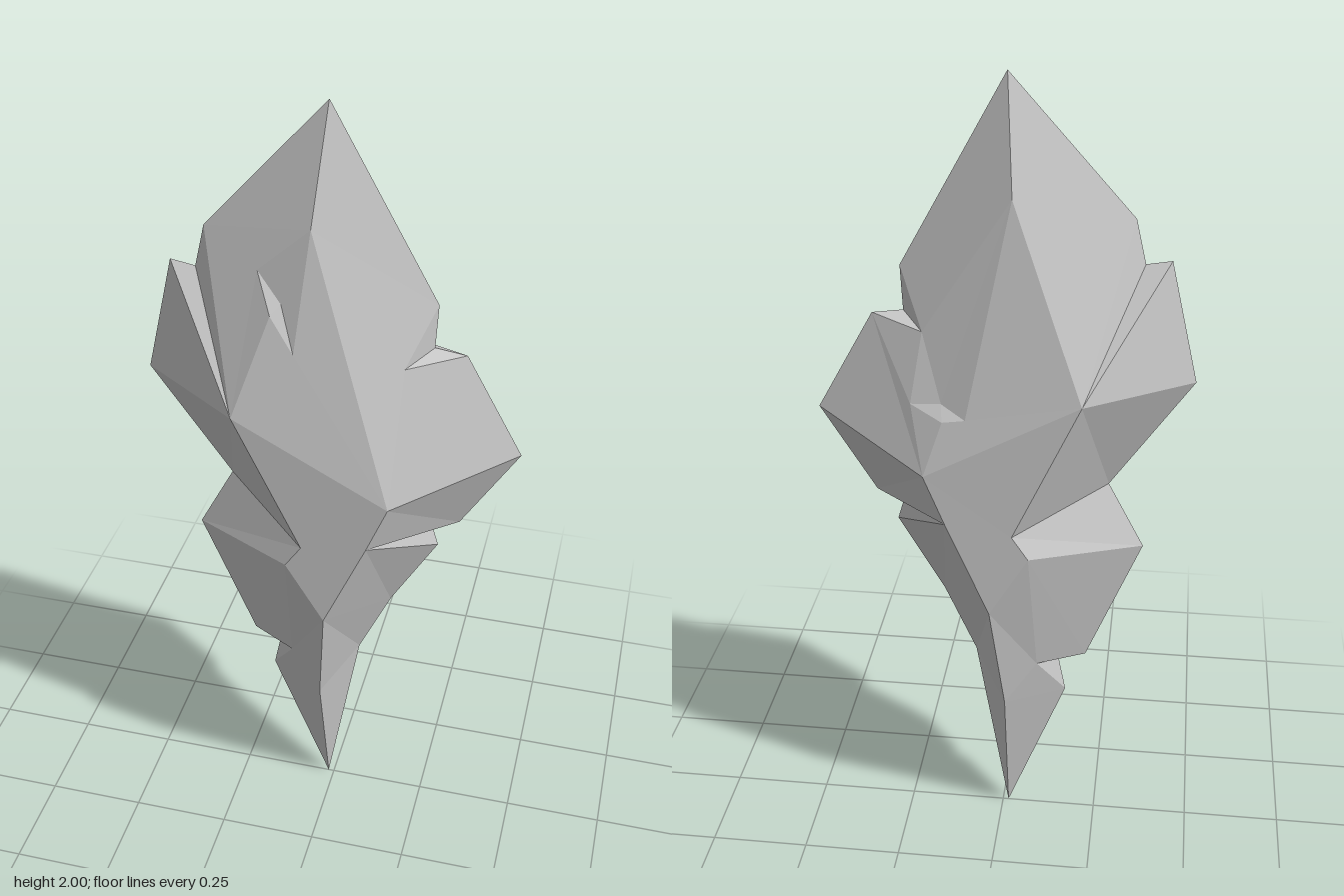
import * as THREE from 'three';

// Corners of one half: rim points lie on z = 0, the others stand out from it.
const P = {
  // rim, clockwise from the tip
  tip: [-0.01, 2, 0], r1: [0.24, 1.55, 0], r2: [0.235, 1.44, 0], r3: [0.31, 1.43, 0],
  r4: [0.45, 1.18, 0], r5: [0.315, 0.96, 0], r6: [0.25, 0.93, 0], r7: [0.265, 0.88, 0],
  r8: [0.15, 0.68, 0], r9: [0.07, 0.5, 0], foot: [-0.015, 0, 0],
  l1: [-0.165, 0.39, 0], l2: [-0.145, 0.49, 0], l3: [-0.215, 0.505, 0], l4: [-0.35, 0.84, 0],
  l5: [-0.26, 1.01, 0], l6: [-0.455, 1.29, 0], l7: [-0.385, 1.585, 0], l8: [-0.325, 1.575, 0],
  l9: [-0.3, 1.68, 0],
  // ridge
  A: [-0.03, 1.74, 0.085], B: [-0.2, 1.29, 0.175], C: [0.17, 1.09, 0.17], D: [-0.04, 0.94, 0.17],
  E: [-0.08, 0.88, 0.17], F: [0.015, 0.72, 0.17], G: [-0.015, 0.4, 0.094],
  // inner ends of the rim notches
  H: [0.12, 0.965, 0.17], J: [-0.095, 0.512, 0.07], N: [0.18, 1.415, 0.07],
  // front chip
  a: [-0.155, 1.625, 0.076], b: [-0.06, 1.455, 0.135], c: [-0.094, 1.563, 0.105], d: [-0.115, 1.54, 0.124],
  // back chip
  u: [0.07, 1.235, 0.156], v: [0.205, 1.25, 0.11], w: [0.125, 1.225, 0.151], x: [0.13, 1.26, 0.125],
};

// Each fan: a centre, then the points around it.
const sharedFans = [
  'H C r5 r6 r7 r8 F D C', 'C r3 r4 r5', 'C D B', 'F r8 r9 G J E D', 'G r9 foot l1 J',
  'J l1 l2 l3 E', 'E l3 l4 D', 'D l4 l5 B', 'B l5 l6 l7 l8 l9', 'A l9 tip r1 N', 'N r1 r2 r3',
];
const frontFans = ['a A l9 B d c A', 'b A c d B C A', 'C A N r3'];
const backFans = ['B l9 A u C', 'u A x w C', 'x A N v w', 'v N r3 C w'];

function half(name, fans, side, material) {
  const pos = [];
  for (const fan of fans) {
    const [centre, ...ring] = fan.split(' ').map((k) => P[k]);
    for (let i = 0; i + 1 < ring.length; i++) {
      let [p, q] = [ring[i], ring[i + 1]];
      // turn every facet outward
      const area = (p[0] - centre[0]) * (q[1] - centre[1]) - (p[1] - centre[1]) * (q[0] - centre[0]);
      if (area * side < 0) [p, q] = [q, p];
      for (const [x, y, z] of [centre, p, q]) pos.push(x, y, z * side);
    }
  }
  const geometry = new THREE.BufferGeometry();
  geometry.setAttribute('position', new THREE.Float32BufferAttribute(pos, 3));
  geometry.computeVertexNormals();
  const mesh = new THREE.Mesh(geometry, material);
  mesh.name = name;
  return mesh;
}

export function createModel() {
  const group = new THREE.Group();
  group.name = 'rockShard';
  const stone = new THREE.MeshStandardMaterial({ color: 0xcccccc, flatShading: true, side: THREE.DoubleSide });
  group.add(
    half('frontHalf', [...sharedFans, ...frontFans], 1, stone),
    half('backHalf', [...sharedFans, ...backFans], -1, stone),
  );
  return group;
}
